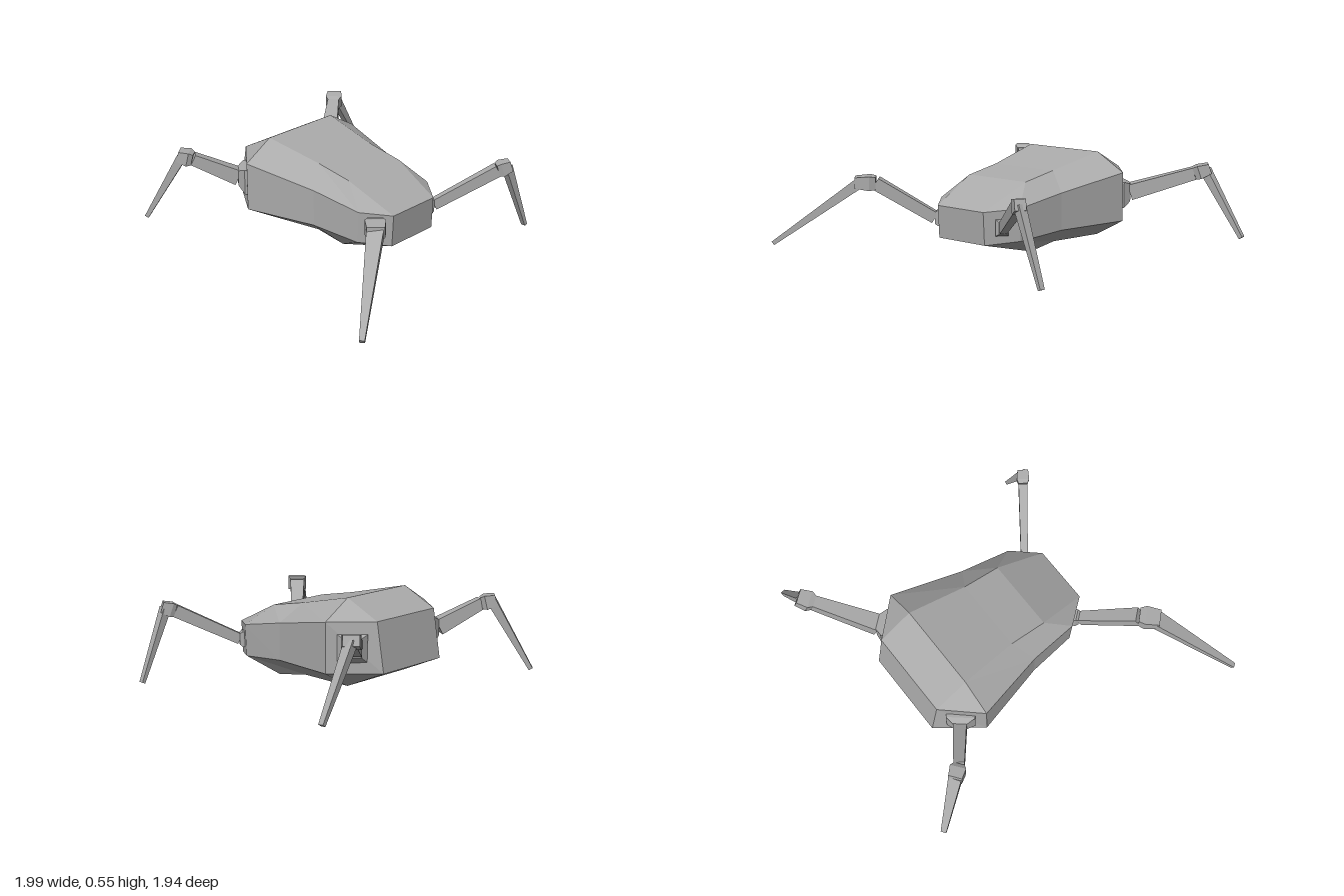
import * as THREE from 'three';

const V = (x, y, z) => new THREE.Vector3(x, y, z);

// Skin a row of closed rings, with flat caps and hard edges
function loft(rings) {
  const pos = [];
  const tri = (a, b, c) => {
    if (a.distanceTo(b) < 1e-5 || b.distanceTo(c) < 1e-5 || a.distanceTo(c) < 1e-5) return;
    pos.push(...a.toArray(), ...b.toArray(), ...c.toArray());
  };
  const n = rings[0].length;
  for (let i = 0; i < rings.length - 1; i++) {
    const A = rings[i], B = rings[i + 1];
    for (let j = 0; j < n; j++) {
      const k = (j + 1) % n;
      tri(A[j], A[k], B[k]);
      tri(A[j], B[k], B[j]);
    }
  }
  const first = rings[0], last = rings[rings.length - 1];
  for (let j = 1; j < n - 1; j++) {
    tri(first[0], first[j + 1], first[j]);
    tri(last[0], last[j], last[j + 1]);
  }
  const g = new THREE.BufferGeometry();
  g.setAttribute('position', new THREE.Float32BufferAttribute(pos, 3));
  g.computeVertexNormals();
  return g;
}

// Rectangular bar through stations [point, halfWidth, halfHeight], cut square to dir
function bar(dir, stations) {
  const d = dir.clone().normalize();
  const s = V(0, 1, 0).cross(d).normalize();
  const u = d.clone().cross(s);
  return loft(stations.map(([p, w, h]) =>
    [[1, 1], [-1, 1], [-1, -1], [1, -1]].map(([a, b]) =>
      p.clone().addScaledVector(s, a * w).addScaledVector(u, b * h))));
}

export function createModel() {
  const model = new THREE.Group();
  model.name = 'fourLeggedWalker';
  const grey = new THREE.MeshStandardMaterial({ color: 0xaaaaaa });
  grey.name = 'grey';
  const add = (parent, name, geometry) => {
    const m = new THREE.Mesh(geometry, grey);
    m.name = name;
    parent.add(m);
  };

  // Body: each row holds a centre x, then roof, upper side, lower side and belly corners
  const rows = [
    [0, [0.17, 0.31, 0.45], [0.17, 0.31, 0.45], [0.17, 0.127, 0.44], [0.17, 0.127, 0.44]],
    [0.005, [0.21, 0.445, 0.155], [0.293, 0.325, 0.30], [0.293, 0.145, 0.29], [0.21, 0.05, 0.11]],
    [0.01, [0.213, 0.485, -0.07], [0.333, 0.379, 0], [0.333, 0.17, 0], [0.213, 0.08, -0.08]],
    [0.012, [0.253, 0.56, -0.42], [0.438, 0.455, -0.42], [0.438, 0.177, -0.42], [0.253, 0.077, -0.42]],
    [0.012, [0.253, 0.455, -0.62], [0.253, 0.455, -0.62], [0.253, 0.18, -0.665], [0.253, 0.18, -0.665]],
  ];
  add(model, 'body', loft(rows.map(([cx, ...pts]) => [
    ...pts.map(([x, y, z]) => V(cx + x, y, z)),
    ...pts.slice().reverse().map(([x, y, z]) => V(cx - x, y, z)),
  ])));

  // Legs: socket on the body corner, upper limb, knee block, tapering lower limb
  const legs = [
    { name: 'frontRightLeg', out: V(-0.77, 0, 0.64), base: V(-0.232, 0.225, 0.372),
      socket: [0.035, 0.045, 0.028, 0.032], neck: V(-0.25, 0.225, 0.39), kneeIn: V(-0.50, 0.42, 0.605),
      kneeOut: V(-0.585, 0.425, 0.685), tip: V(-0.985, 0.065, 0.95),
      upper: [0.03, 0.032, 0.042, 0.035], knee: [0.055, 0.04], lower: [0.045, 0.03, 0.014, 0.012] },
    { name: 'frontLeftLeg', out: V(0.77, 0, 0.64), base: V(0.235, 0.225, 0.372),
      socket: [0.035, 0.045, 0.022, 0.032], neck: V(0.255, 0.225, 0.385), kneeIn: V(0.55, 0.405, 0.605),
      kneeOut: V(0.61, 0.43, 0.65), tip: V(0.76, 0.015, 0.662),
      upper: [0.02, 0.03, 0.026, 0.035], knee: [0.036, 0.04], lower: [0.024, 0.024, 0.015, 0.01] },
    { name: 'backRightLeg', out: V(-0.76, 0, -0.65), base: V(-0.335, 0.315, -0.53),
      socket: [0.08, 0.075, 0.035, 0.045], neck: V(-0.365, 0.325, -0.56), kneeIn: V(-0.565, 0.45, -0.715),
      kneeOut: V(-0.615, 0.47, -0.78), tip: V(-0.725, 0.075, -0.955),
      upper: [0.038, 0.045, 0.03, 0.032], knee: [0.045, 0.04], lower: [0.036, 0.026, 0.016, 0.012] },
    { name: 'backLeftLeg', out: V(0.76, 0, -0.65), base: V(0.36, 0.315, -0.53),
      socket: [0.08, 0.075, 0.045, 0.05], neck: V(0.395, 0.325, -0.56), kneeIn: V(0.685, 0.435, -0.785),
      kneeOut: V(0.755, 0.465, -0.84), tip: V(0.98, 0.085, -0.843),
      upper: [0.05, 0.045, 0.034, 0.035], knee: [0.05, 0.038], lower: [0.026, 0.026, 0.014, 0.012] },
  ];
  for (const L of legs) {
    const leg = new THREE.Group();
    leg.name = L.name;
    model.add(leg);
    const [sw, sh, nw, nh] = L.socket;
    add(leg, 'socket', bar(L.out, [
      [L.base.clone().addScaledVector(L.out, -0.01), sw, sh],
      [L.base.clone().addScaledVector(L.out, 0.008), sw, sh],
      [L.neck, nw, nh],
    ]));
    const dir = L.kneeIn.clone().sub(L.neck);
    const [uw, uh, vw, vh] = L.upper;
    add(leg, 'upperLimb', bar(dir, [[L.neck, uw, uh], [L.kneeIn, vw, vh]]));
    // Knee block flares out from the limb, then narrows toward the bend
    const kneeDir = L.kneeOut.clone().sub(L.kneeIn);
    const mid = L.kneeIn.clone().lerp(L.kneeOut, 0.3);
    add(leg, 'knee', bar(kneeDir, [
      [L.kneeIn, vw, vh], [mid, ...L.knee], [L.kneeOut, L.knee[0] * 0.85, L.knee[1] * 0.75],
    ]));
    const start = mid.clone().lerp(L.kneeOut, 0.6);
    const [lw, lh, tw, th] = L.lower;
    add(leg, 'lowerLimb', bar(L.tip.clone().sub(start), [[start, lw, lh], [L.tip, tw, th]]));
  }
  return model;
}
